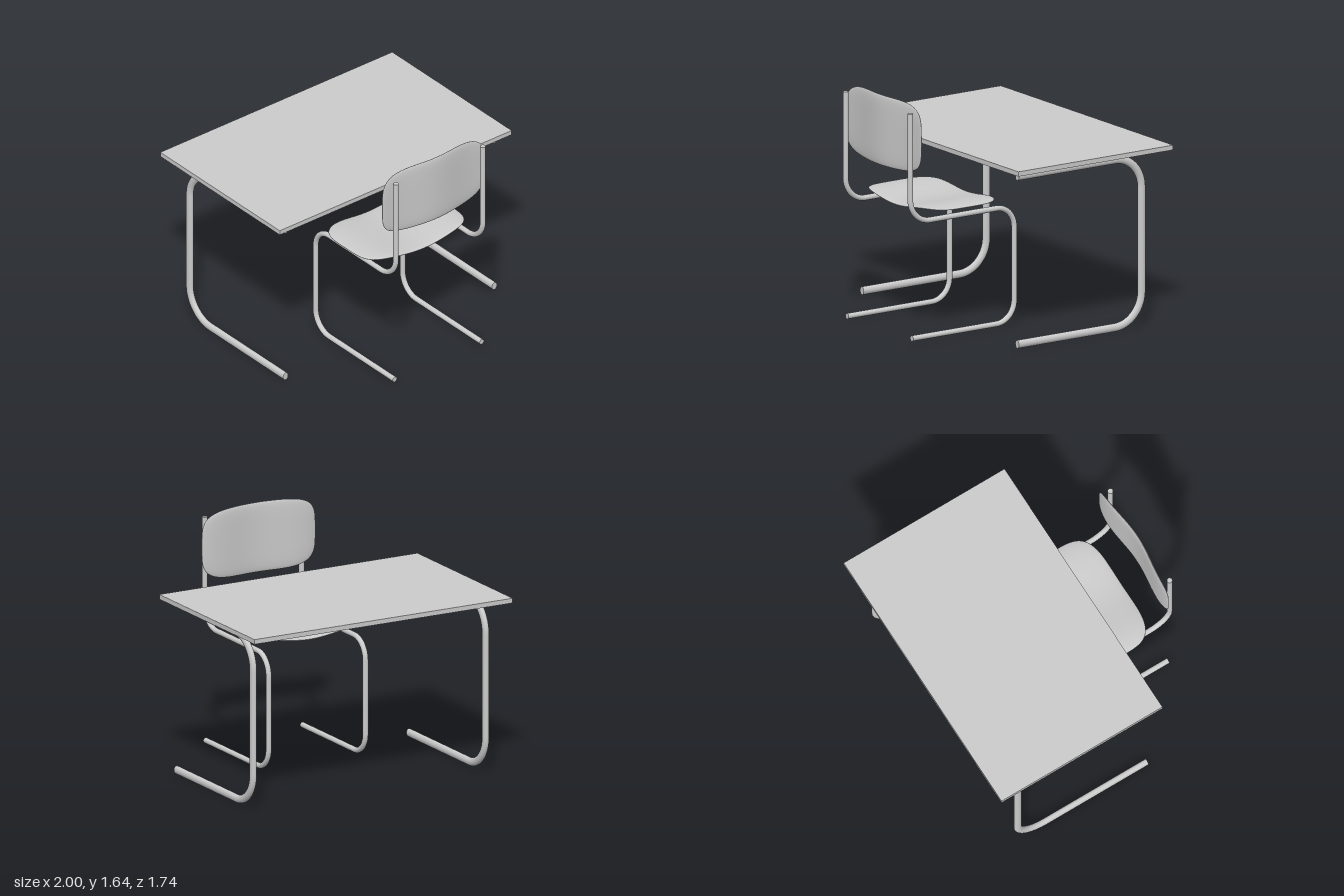
import * as THREE from 'three';
import { mergeGeometries, mergeVertices } from 'three/addons/utils/BufferGeometryUtils.js';

const material = new THREE.MeshStandardMaterial({ color: 0xcccccc });

function addMesh(parent, name, geometry, x = 0, y = 0, z = 0) {
  const mesh = new THREE.Mesh(geometry, material);
  mesh.name = name;
  mesh.position.set(x, y, z);
  parent.add(mesh);
  return mesh;
}

// Bent tube in the plane x = 0; each corner is [z, y, bend radius]
function bentTube(corners, radius) {
  const points = corners.map(([z, y]) => new THREE.Vector3(0, y, z));
  const path = new THREE.CurvePath();
  let from = points[0];
  for (let i = 1; i < points.length - 1; i++) {
    const p = points[i], bend = corners[i][2], k = bend * (1 - 0.5523);
    const back = points[i - 1].clone().sub(p).normalize();
    const ahead = points[i + 1].clone().sub(p).normalize();
    const a = p.clone().addScaledVector(back, bend);
    const b = p.clone().addScaledVector(ahead, bend);
    path.add(new THREE.LineCurve3(from, a));
    path.add(new THREE.CubicBezierCurve3(a,
      p.clone().addScaledVector(back, k), p.clone().addScaledVector(ahead, k), b));
    from = b;
  }
  path.add(new THREE.LineCurve3(from, points[points.length - 1]));

  const parts = [new THREE.TubeGeometry(path, 160, radius, 20, false)];
  // flat end caps
  for (const t of [0, 1]) {
    const outward = path.getTangentAt(t).multiplyScalar(t ? 1 : -1);
    const turn = new THREE.Quaternion().setFromUnitVectors(new THREE.Vector3(0, 0, 1), outward);
    const end = path.getPointAt(t);
    parts.push(new THREE.CircleGeometry(radius, 20).applyQuaternion(turn).translate(end.x, end.y, end.z));
  }
  return mergeGeometries(parts);
}

// Thin moulded panel: rounded outline, soft rim, shallow wave across its width
function mouldedPanel(halfWidth, halfDepth, halfThickness) {
  const n = 4.2;
  const geometry = new THREE.SphereGeometry(1, 96, 48);
  const pos = geometry.attributes.position;
  for (let i = 0; i < pos.count; i++) {
    const x = pos.getX(i), y = pos.getY(i), z = pos.getZ(i);
    const r = Math.min(1, Math.hypot(x, z));
    const outline = r > 1e-6 ? r / Math.pow(Math.abs(x) ** n + Math.abs(z) ** n, 1 / n) : 0;
    const px = x * outline * halfWidth;
    const wave = 0.016 * (1 - Math.cos(Math.PI * px / 0.36));
    const rim = Math.abs(y) < 1e-6 ? 0 : Math.sign(y) * Math.sqrt(1 - r ** 6);
    pos.setXYZ(i, px, wave + rim * halfThickness, z * outline * halfDepth);
  }
  geometry.deleteAttribute('normal');
  geometry.deleteAttribute('uv');
  const welded = mergeVertices(geometry, 1e-5);
  welded.computeVertexNormals();
  return welded;
}

export function createModel() {
  const model = new THREE.Group();
  model.name = 'deskAndChair';

  // Desk: flat top on two C-shaped legs
  const desk = new THREE.Group();
  desk.name = 'desk';
  model.add(desk);
  addMesh(desk, 'deskTop', new THREE.BoxGeometry(2, 0.033, 1.27), 0, 1.232, -0.235);
  const deskLeg = bentTube([
    [0.34, 0.028], [-0.68, 0.028, 0.22], [-0.68, 1.187, 0.22], [0.34, 1.187],
  ], 0.028);
  deskLeg.scale(0.78, 1, 1);
  for (const side of [-1, 1]) {
    addMesh(desk, side < 0 ? 'rightDeskLeg' : 'leftDeskLeg', deskLeg, 0.9 * side);
  }

  // Chair: two cantilever tubes from floor to backrest
  const chair = new THREE.Group();
  chair.name = 'chair';
  model.add(chair);
  const chairTube = bentTube([
    [0.84, 0.035], [0, 0.035, 0.145], [0, 0.833, 0.145], [0.852, 0.833, 0.16], [0.852, 1.59],
  ], 0.019);
  for (const side of [-1, 1]) {
    addMesh(chair, side < 0 ? 'rightChairFrame' : 'leftChairFrame', chairTube, 0.01 + 0.375 * side);
  }

  addMesh(chair, 'seat', mouldedPanel(0.44, 0.297, 0.0125), 0, 0.864, 0.407);
  const backrest = addMesh(chair, 'backrest', mouldedPanel(0.44, 0.243, 0.0125), 0, 1.398, 0.826);
  backrest.rotation.x = -Math.PI / 2;
  return model;
}
